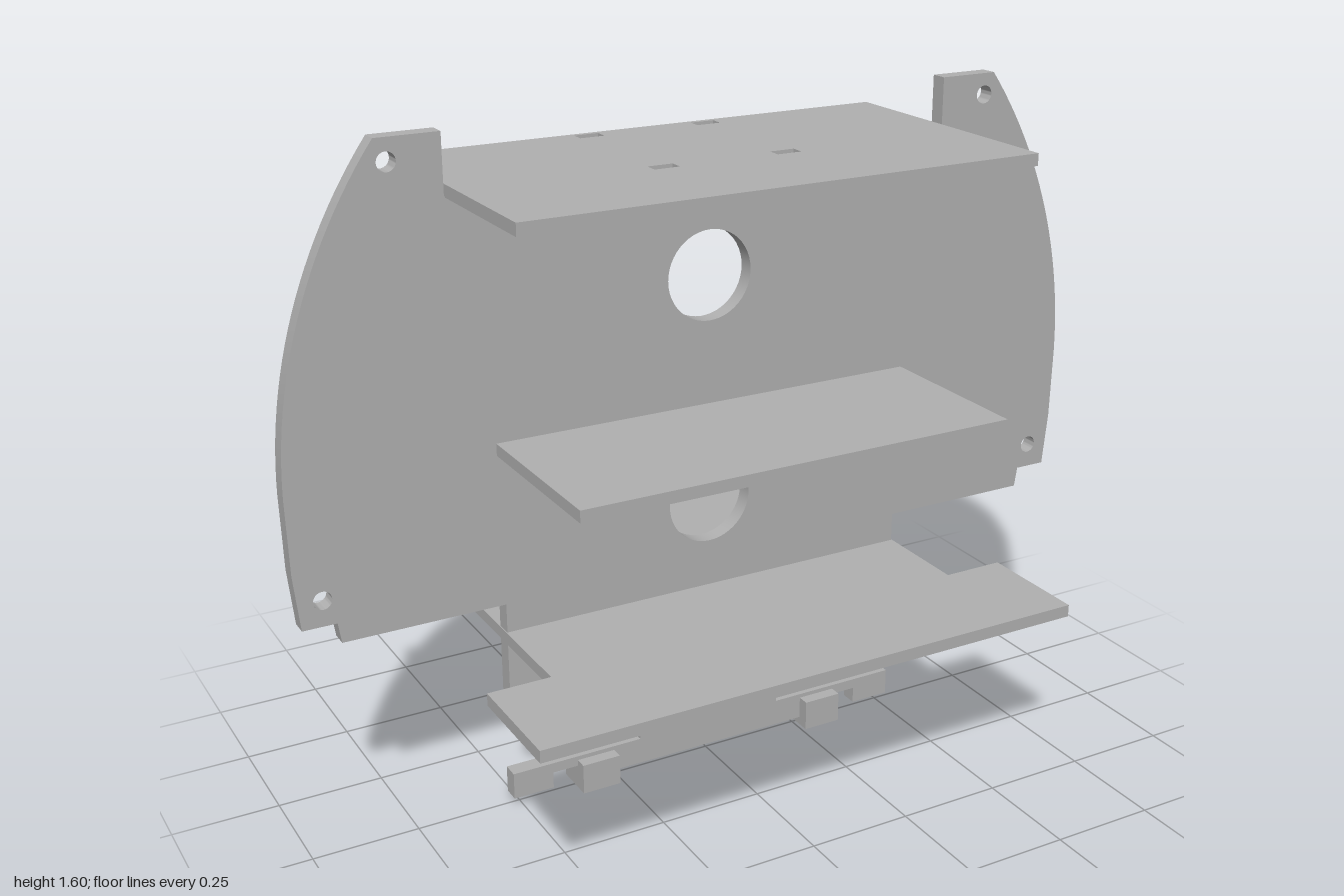
import * as THREE from 'three';
import { toCreasedNormals } from 'three/addons/utils/BufferGeometryUtils.js';

const gray = new THREE.MeshStandardMaterial({ color: 0xb0b0b0 });
gray.name = 'plainGray';

const shapeOf = (pts) => new THREE.Shape(pts.map(([x, y]) => new THREE.Vector2(x, y)));

// Closed rectangle given by its limits
const rectPoints = (x0, x1, y0, y1) => [[x0, y0], [x1, y0], [x1, y1], [x0, y1]];

function addRoundHole(shape, x, y, r) {
  const hole = new THREE.Path();
  hole.absarc(x, y, r, 0, Math.PI * 2, true);
  shape.holes.push(hole);
}

function addRectHole(shape, cx, cy, w, h) {
  const pts = rectPoints(cx - w / 2, cx + w / 2, cy - h / 2, cy + h / 2).reverse();
  shape.holes.push(new THREE.Path(pts.map(([x, y]) => new THREE.Vector2(x, y))));
}

function extrude(name, shape, depth) {
  const geo = new THREE.ExtrudeGeometry(shape, { depth, bevelEnabled: false, curveSegments: 24 });
  const mesh = new THREE.Mesh(toCreasedNormals(geo, 0.4), gray);
  mesh.name = name;
  return mesh;
}

// Horizontal plate: the shape's y becomes z, thickness goes down from top
function flatPlate(name, shape, top, thickness) {
  const mesh = extrude(name, shape, thickness);
  mesh.rotation.x = Math.PI / 2;
  mesh.position.y = top;
  return mesh;
}

export function createModel() {
  const model = new THREE.Group();
  model.name = 'shelfFrame';

  // Upright wall: right half of the outline from the bottom up, then mirrored
  const half = [
    [0.26, 0.02], [0.26, 0.06], [0.42, 0.06], [0.42, 0.02], [0.52, 0.02], [0.52, 0.085],
    [0.19, 0.085], [0.19, 0.27], [0.52, 0.27], [0.52, 0.522], [0.9, 0.522], [0.907, 0.57],
    [0.985, 0.57], [0.997, 0.7],
  ];
  const radius = 1.215, sweep = Math.asin(0.725 / radius), steps = 24;
  for (let i = 0; i <= steps; i++) {
    const a = (sweep * i) / steps;
    half.push([1 - radius + radius * Math.cos(a), 0.87 + radius * Math.sin(a)]);
  }
  half.push([0.617, 1.595], [0.617, 1.46]);
  const mirrored = half.map(([x, y]) => [-x, y]).reverse();
  const wallShape = shapeOf([...half, ...mirrored]);
  for (const y of [0.67, 1.21]) addRoundHole(wallShape, 0, y, 0.105);
  for (const s of [-1, 1]) {
    addRoundHole(wallShape, s * 0.735, 1.545, 0.021);
    addRoundHole(wallShape, s * 0.935, 0.63, 0.021);
    addRectHole(wallShape, s * 0.39, 0.31, 0.058, 0.03);
  }
  const wall = extrude('uprightWall', wallShape, 0.04);
  wall.position.z = -0.02;
  model.add(wall);

  // Top shelf with four slots
  const topShape = shapeOf(rectPoints(-0.615, 0.615, -0.292, 0.377));
  for (const x of [-0.154, 0.146])
    for (const z of [-0.262, 0.096]) addRectHole(topShape, x, z, 0.06, 0.033);
  model.add(flatPlate('topShelf', topShape, 1.487, 0.028));

  // Middle shelf with four holes in its rear half
  const midShape = shapeOf(rectPoints(-0.527, 0.527, -0.495, 0.437));
  for (const x of [-0.425, 0.425])
    for (const z of [-0.415, -0.075]) addRoundHole(midShape, x, z, 0.024);
  model.add(flatPlate('middleShelf', midShape, 0.908, 0.028));

  // Bottom shelf, notched at both sides
  const side = [[0.67, -0.525], [0.67, -0.257], [0.522, -0.257], [0.522, 0.257], [0.67, 0.257], [0.67, 0.525]];
  const lowShape = shapeOf([...side, ...side.map(([x, z]) => [-x, z]).reverse()]);
  model.add(flatPlate('bottomShelf', lowShape, 0.452, 0.029));

  // Bored foot blocks
  for (const s of [-1, 1]) {
    const c = s * 0.308;
    const footShape = shapeOf(rectPoints(c - 0.048, c + 0.048, -0.05, 0.05));
    addRoundHole(footShape, c, 0, 0.02);
    model.add(flatPlate(s > 0 ? 'leftFoot' : 'rightFoot', footShape, 0.075, 0.075));
  }
  return model;
}
